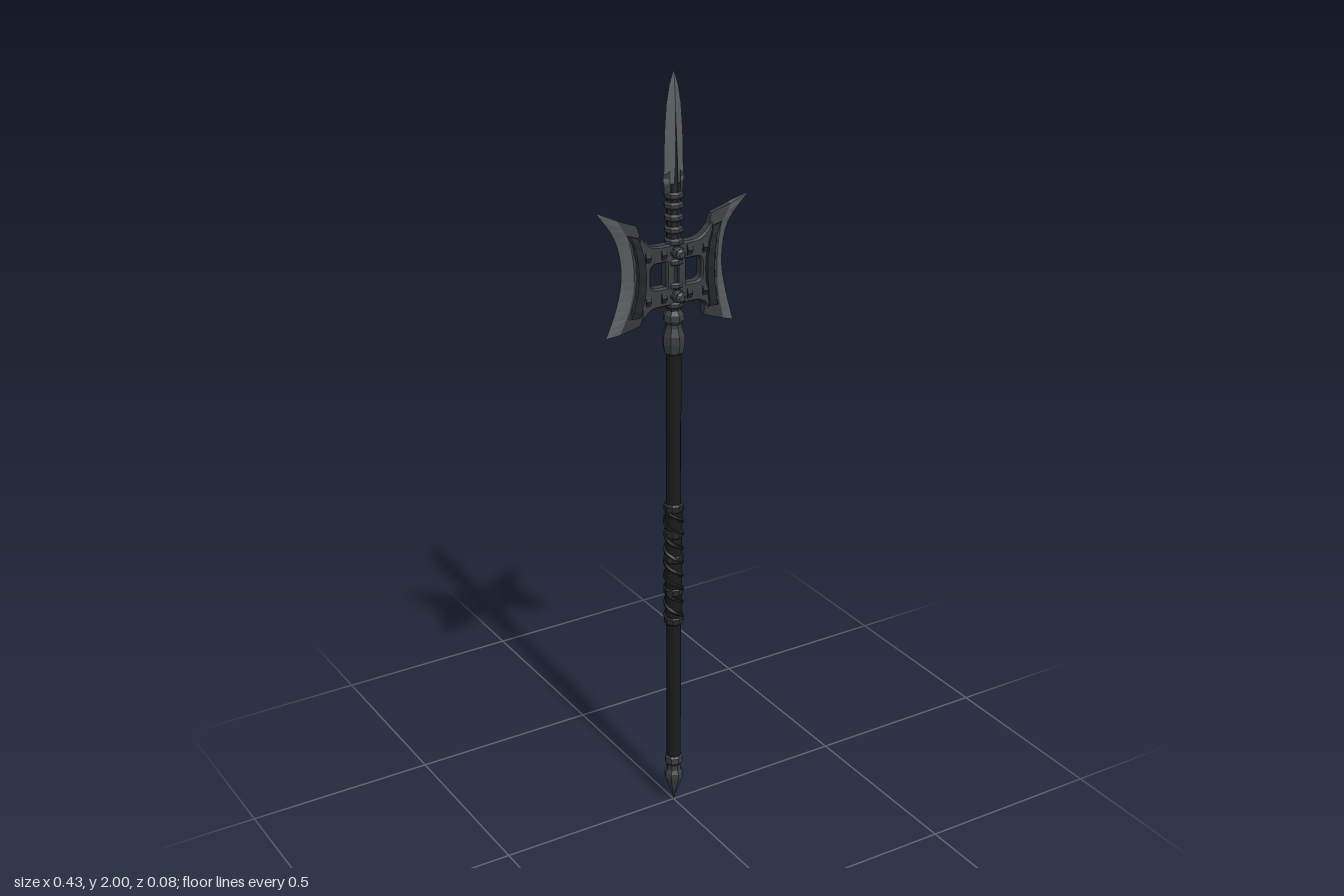
import * as THREE from 'three';

const mat = (color) => new THREE.MeshStandardMaterial({ color, flatShading: true });
const steel = mat(0x5c6063), iron = mat(0x3a3e41), dark = mat(0x24272a), leather = mat(0x191a1b);

// Closed solid through equal-length rings of points, with capped ends and outward faces
function loft(rings) {
  const n = rings[0].length, pos = [], tri = [];
  rings.forEach((r) => r.forEach((p) => pos.push(...p)));
  for (let i = 0; i < rings.length - 1; i++) {
    for (let j = 0; j < n; j++) {
      const a = i * n + j, b = i * n + (j + 1) % n;
      tri.push([a, b, b + n], [a, b + n, a + n]);
    }
  }
  const e = (rings.length - 1) * n;
  for (let j = 1; j < n - 1; j++) tri.push([0, j + 1, j], [e, e + j, e + j + 1]);
  const v = (i) => new THREE.Vector3().fromArray(pos, i * 3);
  const o = v(0);
  const volume = tri.reduce((s, [a, b, c]) =>
    s + v(a).sub(o).dot(v(b).sub(o).cross(v(c).sub(o))), 0);
  const g = new THREE.BufferGeometry();
  g.setAttribute('position', new THREE.Float32BufferAttribute(pos, 3));
  g.setIndex(tri.flatMap(([a, b, c]) => (volume < 0 ? [a, c, b] : [a, b, c])));
  const flat = g.toNonIndexed();
  flat.computeVertexNormals();
  return flat;
}

const lathe = (profile, sides) =>
  new THREE.LatheGeometry(profile.map(([r, y]) => new THREE.Vector2(r, y)), sides);

// Smooth samples along a few x, y points
const sample = (pts, count = 14) =>
  new THREE.CatmullRomCurve3(pts.map(([x, y]) => new THREE.Vector3(x, y, 0))).getPoints(count);

export function createModel() {
  const group = new THREE.Group();
  const add = (name, geometry, material, parent = group) => {
    const m = new THREE.Mesh(geometry, material);
    m.name = name;
    parent.add(m);
    return m;
  };

  // Pole, butt spike and collar
  add('shaft', new THREE.CylinderGeometry(0.019, 0.019, 1.24, 12).translate(0, 0.74, 0), leather);
  add('buttSpike', lathe([[0, 0], [0.005, 0.02], [0.017, 0.05], [0.025, 0.075], [0.025, 0.09],
    [0.019, 0.1], [0.019, 0.115], [0.024, 0.122], [0.024, 0.138], [0.018, 0.145]], 8), iron);
  add('collar', lathe([[0.019, 1.295], [0.025, 1.3], [0.029, 1.325], [0.028, 1.345], [0.021, 1.365],
    [0.02, 1.375], [0.027, 1.385], [0.026, 1.4], [0.019, 1.41]], 8), iron);

  // Hand grip with end bands and a spiral wrap
  add('gripCore', new THREE.CylinderGeometry(0.022, 0.022, 0.32, 12).translate(0, 0.715, 0), leather);
  for (const y of [0.555, 0.64, 0.735, 0.805, 0.878]) {
    add('gripBand', lathe([[0.02, y - 0.012], [0.026, y - 0.007], [0.026, y + 0.007],
      [0.02, y + 0.012]], 10), dark);
  }
  for (const phase of [0, Math.PI]) {
    const path = Array.from({ length: 61 }, (_, i) => {
      const a = i / 60 * Math.PI * 8 + phase;
      return new THREE.Vector3(0.021 * Math.cos(a), 0.56 + 0.31 * i / 60, 0.021 * Math.sin(a));
    });
    add('gripWrap', new THREE.TubeGeometry(new THREE.CatmullRomCurve3(path), 120, 0.006, 5), leather);
  }

  // Head core with stacked rings
  add('headCore', new THREE.CylinderGeometry(0.018, 0.019, 0.34, 8).translate(0, 1.56, 0), dark);
  for (const y of [1.425, 1.45, 1.475, 1.535, 1.56, 1.585, 1.615, 1.645, 1.675, 1.7]) {
    add('headRing', lathe([[0.016, y - 0.011], [0.024, y - 0.004], [0.024, y + 0.004],
      [0.016, y + 0.011]], 8), iron);
  }

  // Studs through the head, front and back
  for (const y of [1.45, 1.56]) {
    for (const s of [-1, 1]) {
      const stud = add('stud', lathe([[0.016, 0], [0.016, 0.026], [0.012, 0.028], [0.014, 0.035],
        [0.008, 0.04], [0, 0.04]], 8), iron);
      stud.position.y = y;
      stud.rotation.x = s * Math.PI / 2;
    }
  }

  // Spear point: diamond section with a dark socket
  const diamond = ([y, w, d]) => [[w, y, 0], [0, y, d], [-w, y, 0], [0, y, -d]];
  add('spearPoint', loft([[1.715, 0.022, 0.014], [1.735, 0.029, 0.015], [1.76, 0.027, 0.014],
    [1.85, 0.025, 0.011], [1.92, 0.02, 0.008], [1.965, 0.012, 0.005], [2, 0.0005, 0.0005]]
    .map(diamond)), steel);
  add('spearRib', loft([[1.69, 0.02, 0.02], [1.73, 0.017, 0.019], [1.82, 0.011, 0.015],
    [1.91, 0.003, 0.009]].map(diamond)), dark);
  for (const s of [-1, 1]) {
    add('spearBarb', loft([[[s * 0.012, 1.69, 0.01], [s * 0.012, 1.69, -0.01], [s * 0.026, 1.705, 0]],
      [[s * 0.014, 1.76, 0.008], [s * 0.014, 1.76, -0.008], [s * 0.029, 1.75, 0]]]), iron);
  }

  // Axe blades: the two sides differ slightly in tilt
  const sides = [
    { name: 'rightBlade', s: -1,
      outer: [[0.19, 1.37], [0.164, 1.43], [0.147, 1.5], [0.148, 1.56], [0.165, 1.62], [0.213, 1.69]],
      ridge: [[0.155, 1.376], [0.133, 1.43], [0.12, 1.5], [0.122, 1.56], [0.132, 1.61], [0.16, 1.664]],
      inner: [[0.098, 1.387], [0.09, 1.42], [0.078, 1.47], [0.078, 1.54], [0.092, 1.595], [0.106, 1.641]] },
    { name: 'leftBlade', s: 1,
      outer: [[0.171, 1.35], [0.152, 1.42], [0.138, 1.49], [0.139, 1.55], [0.156, 1.61], [0.213, 1.672]],
      ridge: [[0.138, 1.362], [0.123, 1.42], [0.113, 1.49], [0.115, 1.55], [0.125, 1.6], [0.157, 1.654]],
      inner: [[0.082, 1.382], [0.083, 1.415], [0.076, 1.465], [0.076, 1.54], [0.09, 1.592], [0.102, 1.638]] },
  ];
  for (const { name, s, outer, ridge, inner } of sides) {
    const blade = new THREE.Group();
    blade.name = name;
    group.add(blade);
    const o = sample(outer), r = sample(ridge), n = sample(inner);
    const thick = (i) => 0.008 + 0.009 * Math.sin(Math.PI * i / (o.length - 1));

    // Bright cutting edge
    add('cuttingEdge', loft(o.map((p, i) => [[s * p.x, p.y, 0], [s * r[i].x, r[i].y, thick(i)],
      [s * r[i].x, r[i].y, -thick(i)]])), steel);
    // Dark body behind the edge
    add('bladeBody', loft(r.map((p, i) => [[s * p.x, p.y, thick(i)], [s * n[i].x, n[i].y, thick(i) * 0.8],
      [s * n[i].x, n[i].y, -thick(i) * 0.8], [s * p.x, p.y, -thick(i)]])), iron);
    // Raised ornament on both faces
    for (const f of [-1, 1]) {
      const at = (i, t, z) => [s * (n[i].x + (r[i].x - n[i].x) * t), n[i].y + (r[i].y - n[i].y) * t, f * z];
      add('facePlate', loft(Array.from({ length: 11 }, (_, k) => {
        const i = k + 2, z = thick(i) + 0.004 + 0.0015 * (k % 2);
        return [at(i, 0.12, 0.006), at(i, 0.25, z), at(i, 0.75, z), at(i, 1.08 - 0.1 * (k % 2), 0.006)];
      })), dark);
    }

    // Bracket joining the blade to the head, with a rounded window
    const shape = new THREE.Shape();
    shape.moveTo(0, 1.43);
    shape.lineTo(0.05, 1.43);
    shape.quadraticCurveTo(0.08, 1.43, 0.092, 1.405);
    shape.lineTo(0.1, 1.5);
    shape.lineTo(0.1, 1.612);
    shape.quadraticCurveTo(0.08, 1.58, 0.05, 1.578);
    shape.lineTo(0, 1.578);
    const hole = new THREE.Path();
    hole.moveTo(0.024, 1.472);
    hole.lineTo(0.055, 1.472);
    hole.quadraticCurveTo(0.075, 1.472, 0.075, 1.492);
    hole.lineTo(0.075, 1.522);
    hole.quadraticCurveTo(0.075, 1.542, 0.055, 1.542);
    hole.lineTo(0.024, 1.542);
    shape.holes.push(hole);
    const bracket = add('bracket', new THREE.ExtrudeGeometry(shape, { depth: 0.02, curveSegments: 5,
      bevelThickness: 0.005, bevelSize: 0.004, bevelSegments: 1 }).translate(0, 0, -0.01), iron, blade);
    if (s < 0) bracket.rotation.y = Math.PI;

    // Knuckles on the bracket arms
    for (const y of [1.45, 1.56]) {
      for (const x of [0.036, 0.08]) {
        add('knuckle', new THREE.CylinderGeometry(0.021, 0.021, 0.014, 8).rotateZ(Math.PI / 2)
          .translate(s * x, y, 0), dark, blade);
      }
    }
  }
  return group;
}
